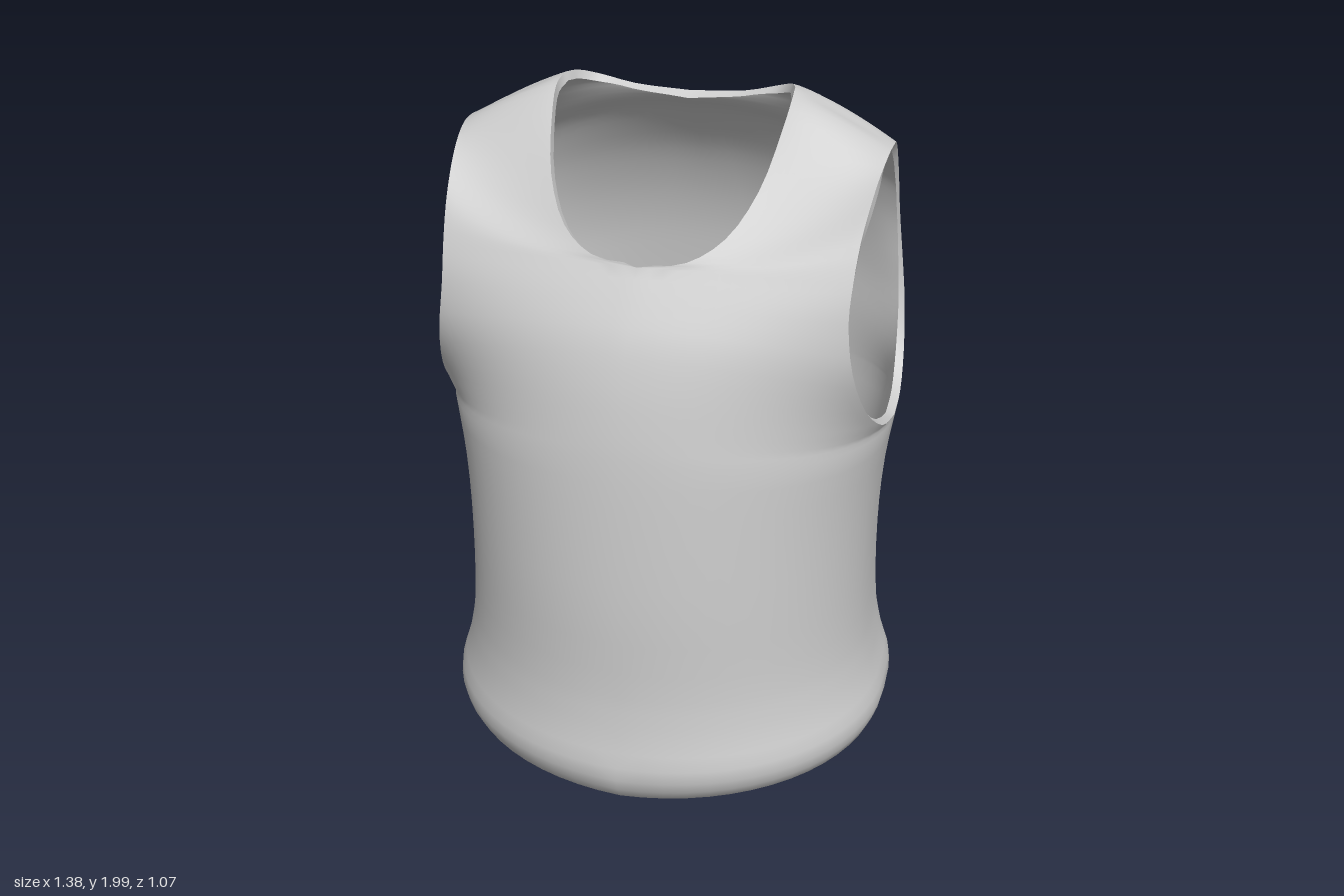
import * as THREE from 'three';
import { mergeVertices, toCreasedNormals } from 'three/addons/utils/BufferGeometryUtils.js';

const SUB = 3;       // rows between two key points
const COLS = 16;     // columns from centre line to side
const THICK = 0.025; // cloth thickness
const MID_Z = -0.08; // depth of the side seams

// Side seam from the rolled hem up to the underarm: [x, y, z]
const seam = [
  [0.6, 0.075, MID_Z], [0.65, 0.04, MID_Z], [0.688, 0.13, MID_Z], [0.655, 0.25, MID_Z], [0.63, 0.38, MID_Z],
  [0.618, 0.65, MID_Z], [0.628, 0.9, MID_Z], [0.655, 1.09, MID_Z],
];
const shoulderTip = [0.6, 1.87, -0.09];
const neckPoint = [0.325, 2.0, -0.11];

// Each panel: armhole edge, centre line, neckline, fullness n of the cross-section
const front = {
  n: 2.05, side: 1,
  arm: [[0.642, 1.13, 0.08], [0.61, 1.22, 0.2], [0.578, 1.36, 0.275], [0.56, 1.5, 0.275], [0.562, 1.6, 0.245],
    [0.568, 1.69, 0.2], [0.577, 1.76, 0.14], [0.586, 1.815, 0.075], [0.594, 1.85, 0.01], [0.598, 1.866, -0.04]],
  centre: [[0, 0.06, 0.43], [0, 0.008, 0.48], [0, 0.11, 0.54], [0, 0.25, 0.52], [0, 0.38, 0.505], [0, 0.65, 0.5],
    [0, 0.9, 0.485], [0, 1.12, 0.465], [0, 1.22, 0.448], [0, 1.32, 0.425], [0, 1.43, 0.388], [0, 1.52, 0.338],
    [0, 1.6, 0.287]],
  neck: [[0.13, 1.62, 0.272], [0.22, 1.675, 0.22], [0.285, 1.78, 0.13], [0.318, 1.91, 0.02], [0.328, 1.978, -0.05]],
};
const back = {
  n: 3.2, side: -1,
  arm: [[0.655, 1.115, -0.19], [0.645, 1.2, -0.3], [0.628, 1.33, -0.375], [0.61, 1.46, -0.395], [0.598, 1.56, -0.39],
    [0.592, 1.64, -0.37], [0.59, 1.71, -0.34], [0.59, 1.77, -0.295], [0.592, 1.815, -0.245], [0.595, 1.848, -0.19],
    [0.598, 1.865, -0.14]],
  centre: [[0, 0.09, -0.42], [0, 0.05, -0.48], [0, 0.13, -0.53], [0, 0.25, -0.53], [0, 0.38, -0.53], [0, 0.65, -0.53],
    [0, 0.9, -0.53], [0, 1.12, -0.525], [0, 1.25, -0.52], [0, 1.38, -0.51], [0, 1.5, -0.495], [0, 1.62, -0.465],
    [0, 1.74, -0.415], [0, 1.83, -0.355], [0, 1.9, -0.295], [0, 1.94, -0.245]],
  neck: [[0.16, 1.95, -0.243], [0.255, 1.975, -0.222], [0.305, 1.995, -0.17]],
};

// Smooth rail through two runs of points that meet at a corner
function rail(lower, upper) {
  const run = (pts) => new THREE.CatmullRomCurve3(pts.map((p) => new THREE.Vector3(...p)))
    .getPoints((pts.length - 1) * SUB);
  return [...run(lower), ...run([lower[lower.length - 1], ...upper]).slice(1)];
}

// Half a panel, lofted between its centre rail and its side rail, then mirrored
function addPanel(panel, pos, idx) {
  const inner = rail(panel.centre, [...panel.neck, neckPoint]);
  const outer = rail(seam, [...panel.arm, shoulderTip]);
  const rows = outer.length;
  const underarm = (seam.length - 1) * SUB;
  const e = 2 / panel.n;
  const sinE = (q) => Math.pow(Math.sin(q), e);
  const cosE = (q) => Math.pow(Math.max(0, Math.cos(q)), e);
  for (const mirror of [1, -1]) {
    const base = pos.length / 3;
    for (let i = 0; i < rows; i++) {
      const a = outer[i], c = inner[i];
      // The trunk's oval is cut off where it meets the armhole; straps are straight
      const t = Math.max(0, (i - underarm) / (rows - 1 - underarm));
      const round = 1 - THREE.MathUtils.smoothstep(t, 0.2, 0.75);
      const ratio = THREE.MathUtils.clamp((a.z - MID_Z) / (c.z - MID_Z), 0, 1);
      const end = Math.max(0.35, Math.acos(Math.pow(ratio, 1 / e)));
      const sag = 1 + 1.2 * Math.sin(Math.PI * t);
      for (let j = 0; j <= COLS; j++) {
        const s = j / COLS;
        const fx = THREE.MathUtils.lerp(s, sinE(s * end) / sinE(end), round);
        const fz = THREE.MathUtils.lerp(s, (1 - cosE(s * end)) / (1 - cosE(end)), round);
        const x = mirror * THREE.MathUtils.lerp(c.x, a.x, fx);
        const y = THREE.MathUtils.lerp(c.y, a.y, Math.pow(fx, sag));
        // The hem hangs slightly lower on one side
        const tilt = 0.03 * x * Math.max(0, 1 - y / 0.5);
        pos.push(x, y + tilt, THREE.MathUtils.lerp(c.z, a.z, fz));
      }
    }
    const flip = mirror * panel.side < 0;
    for (let i = 0; i < rows - 1; i++) {
      for (let j = 0; j < COLS; j++) {
        const p = base + i * (COLS + 1) + j, q = p + COLS + 1;
        if (flip) idx.push(p, q + 1, p + 1, p, q, q + 1);
        else idx.push(p, p + 1, q + 1, p, q + 1, q);
      }
    }
  }
}

// Gives a surface an inner lining and closes its open edges
function thicken(surface) {
  const p = surface.attributes.position, n = surface.attributes.normal;
  const tri = surface.index.array, count = p.count;
  const pos = Array.from(p.array), idx = Array.from(tri);
  for (let i = 0; i < count; i++) {
    pos.push(p.getX(i) - n.getX(i) * THICK, p.getY(i) - n.getY(i) * THICK, p.getZ(i) - n.getZ(i) * THICK);
  }
  const edges = new Map();
  for (let f = 0; f < tri.length; f += 3) {
    idx.push(tri[f] + count, tri[f + 2] + count, tri[f + 1] + count);
    for (let k = 0; k < 3; k++) {
      const a = tri[f + k], b = tri[f + (k + 1) % 3];
      edges.set(a + '_' + b, [a, b]);
    }
  }
  for (const [a, b] of edges.values()) {
    if (!edges.has(b + '_' + a)) idx.push(b, a, a + count, b, a + count, b + count);
  }
  return meshData(pos, idx);
}

function meshData(pos, idx) {
  const g = new THREE.BufferGeometry();
  g.setAttribute('position', new THREE.Float32BufferAttribute(pos, 3));
  g.setIndex(idx);
  return g;
}

export function createModel() {
  const group = new THREE.Group();
  group.name = 'sleevelessTop';
  const pos = [], idx = [];
  addPanel(front, pos, idx);
  addPanel(back, pos, idx);
  const surface = mergeVertices(meshData(pos, idx), 1e-4);
  surface.computeVertexNormals();

  const cloth = new THREE.Mesh(
    toCreasedNormals(thicken(surface), 0.8),
    new THREE.MeshStandardMaterial({ color: 0xcccccc, side: THREE.DoubleSide }),
  );
  cloth.name = 'vestCloth';
  group.add(cloth);
  return group;
}
